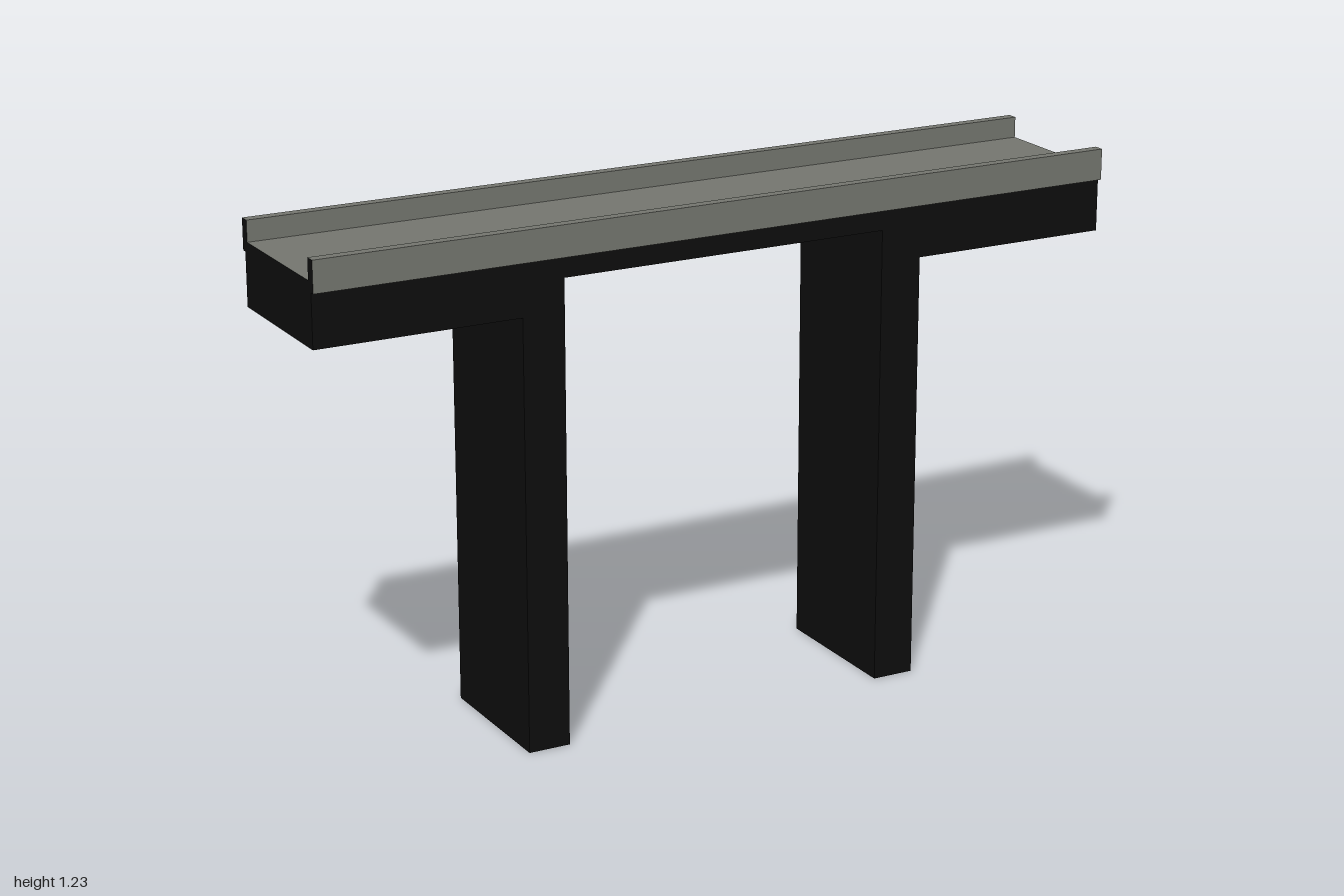
import * as THREE from 'three';

export function createModel() {
  const model = new THREE.Group();
  model.name = 'bridgeSection';

  const concrete = new THREE.MeshStandardMaterial({ color: 0x73756e });
  concrete.name = 'grey concrete';
  const dark = new THREE.MeshStandardMaterial({ color: 0x0d0d0d });
  dark.name = 'black structure';

  // Main heights and extents
  const beamBottom = 1.027, latticeBottom = 1.104, slabBottom = 1.153, slabTop = 1.177, railTop = 1.227;
  const halfDepth = 0.183, pierIn = 0.406, pierOut = 0.508;

  const add = (name, geometry, material) => {
    const mesh = new THREE.Mesh(geometry, material);
    mesh.name = name;
    model.add(mesh);
    return mesh;
  };

  // Box given by its minimum and maximum on each axis
  const box = (name, [x0, x1], [y0, y1], [z0, z1], material) => {
    const mesh = add(name, new THREE.BoxGeometry(x1 - x0, y1 - y0, z1 - z0), material);
    mesh.position.set((x0 + x1) / 2, (y0 + y1) / 2, (z0 + z1) / 2);
  };

  // Road slab: grey above and below, black on its edges
  box('roadSlab', [-1, 1], [slabBottom, slabTop], [-halfDepth, halfDepth],
    [dark, dark, concrete, concrete, dark, dark]);

  // Parapets with black end caps and undersides
  for (const [side, z] of [['front', 0.1825], ['back', -0.1825]]) {
    box(side + 'Parapet', [-1, 1], [slabBottom, railTop], [z - 0.0125, z + 0.0125],
      [dark, dark, concrete, dark, concrete, concrete]);
  }

  // Deep outer beams and the piers below them
  for (const [side, s] of [['left', 1], ['right', -1]]) {
    const span = (a, b) => (s > 0 ? [a, b] : [-b, -a]);
    box(side + 'OuterBeam', span(pierIn, 1), [beamBottom, slabBottom], [-halfDepth, halfDepth], dark);
    box(side + 'Pier', span(pierIn, pierOut), [0, beamBottom], [-halfDepth, halfDepth], dark);
  }

  // Shallow middle lattice with four open bays
  const rect = (path, cx, hx, hz) => path
    .moveTo(cx - hx, -hz).lineTo(cx + hx, -hz).lineTo(cx + hx, hz).lineTo(cx - hx, hz).closePath();
  const outline = rect(new THREE.Shape(), 0, pierIn, halfDepth);
  const bays = 4, pitch = (2 * pierIn) / bays;
  for (let i = 0; i < bays; i++) {
    outline.holes.push(rect(new THREE.Path(), -pierIn + pitch * (i + 0.5), 0.078, 0.13));
  }
  const lattice = new THREE.ExtrudeGeometry(outline, { depth: slabBottom - latticeBottom, bevelEnabled: false });
  lattice.rotateX(-Math.PI / 2);
  add('middleLattice', lattice, dark).position.y = latticeBottom;

  return model;
}
